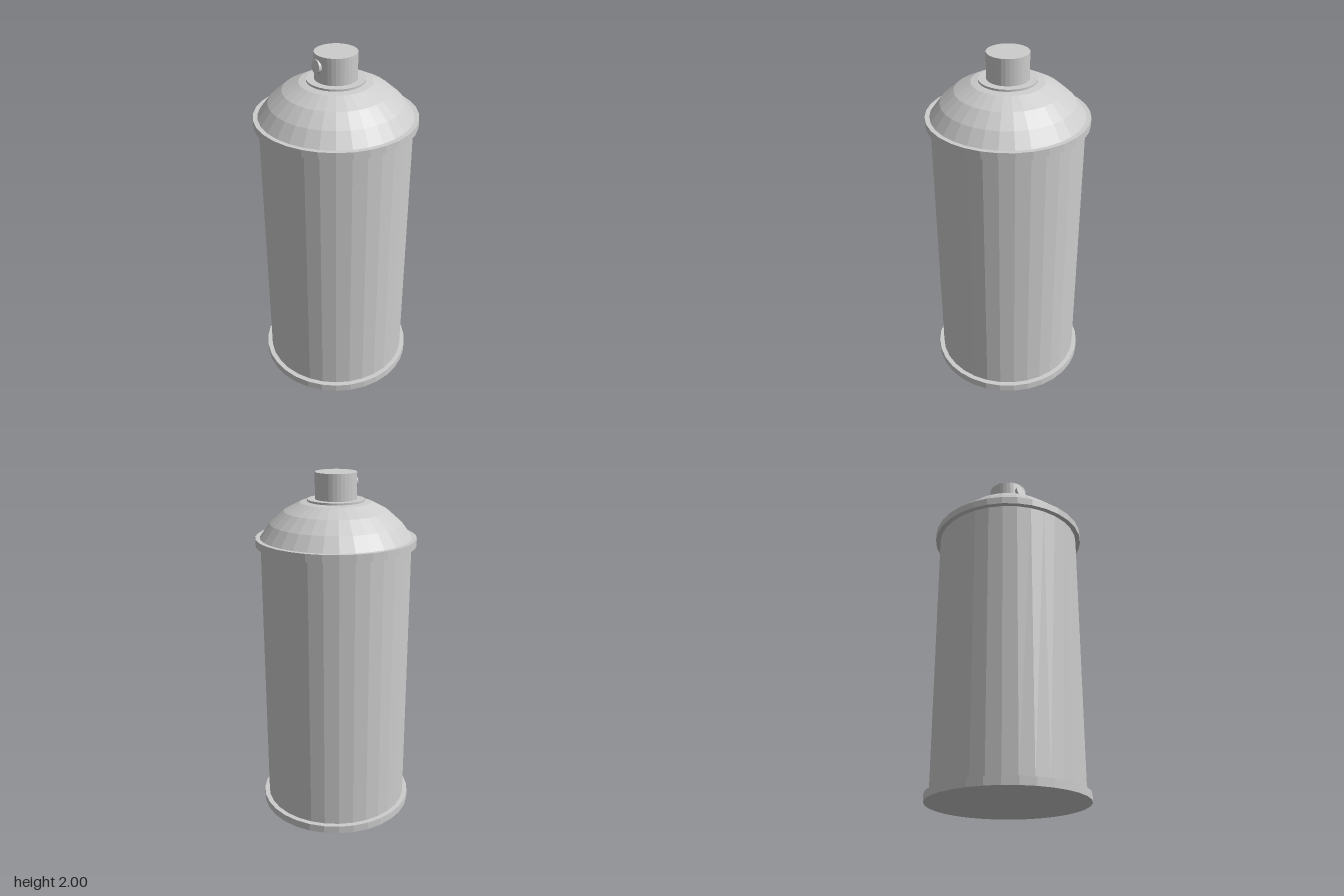
import * as THREE from 'three';

const SIDES = 32;

export function createModel() {
  const can = new THREE.Group();
  can.name = 'sprayCan';
  const metal = new THREE.MeshStandardMaterial({ color: 0xcccccc });
  metal.name = 'plain grey';
  metal.flatShading = true;

  const add = (name, geometry) => {
    const mesh = new THREE.Mesh(geometry, metal);
    mesh.name = name;
    can.add(mesh);
    return mesh;
  };
  // Upright disc or tube between two heights
  const drum = (name, radius, y0, y1) => {
    const mesh = add(name, new THREE.CylinderGeometry(radius, radius, y1 - y0, SIDES));
    mesh.position.y = (y0 + y1) / 2;
    return mesh;
  };

  // Body with a rolled rim at each end
  drum('body', 0.42, 0.02, 1.63);
  drum('bottomRim', 0.448, 0, 0.045);
  drum('topRim', 0.448, 1.605, 1.648);

  // Domed shoulder
  const profile = [[0.425, 1.645], [0.365, 1.725], [0.288, 1.792], [0.198, 1.838], [0.1, 1.852]];
  add('shoulder', new THREE.LatheGeometry(profile.map(([r, y]) => new THREE.Vector2(r, y)), SIDES));

  // Collar and press button
  drum('collar', 0.158, 1.835, 1.855);
  drum('button', 0.115, 1.85, 2);

  // Small round nozzle on the right side, tipped slightly upwards
  const nozzle = add('nozzle', new THREE.CylinderGeometry(0.035, 0.035, 0.04, SIDES));
  nozzle.position.set(-0.107, 1.94, 0);
  nozzle.rotation.z = Math.PI / 2 - 0.1;

  return can;
}
